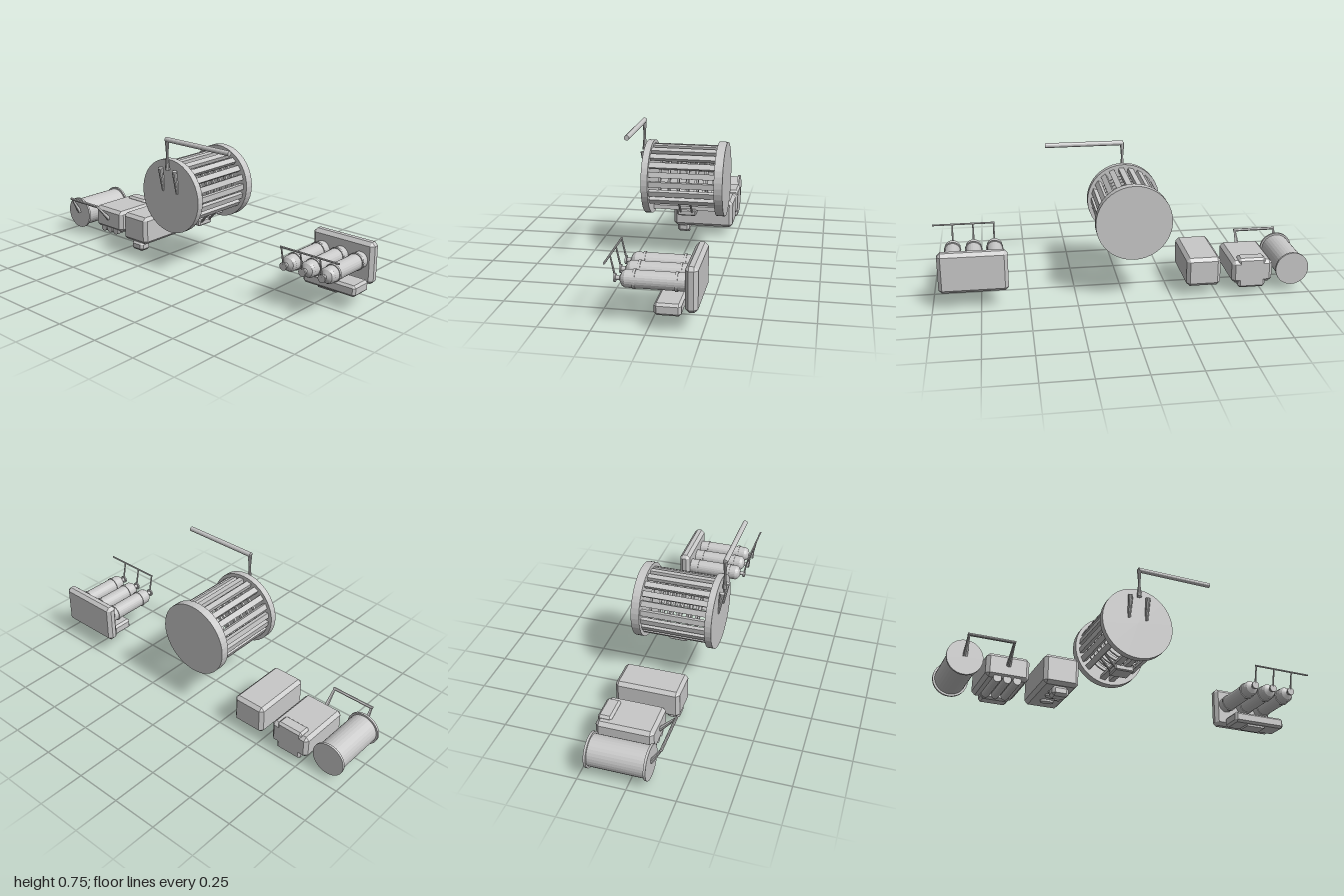
import * as THREE from 'three';
import { ConvexGeometry } from 'three/addons/geometries/ConvexGeometry.js';

const grey = new THREE.MeshStandardMaterial({ color: 0xc8c8c8, flatShading: true });
grey.name = 'light grey';
const V = (x, y, z) => new THREE.Vector3(x, y, z);

function add(parent, name, geometry) {
  const m = new THREE.Mesh(geometry, grey);
  m.name = name;
  parent.add(m);
  return m;
}

// Box given by its limits, all edges chamfered by c
function block(parent, name, x0, x1, y0, y1, z0, z1, c = 0) {
  const w = (x1 - x0) / 2, h = (y1 - y0) / 2, d = (z1 - z0) / 2;
  let geo;
  if (c === 0) geo = new THREE.BoxGeometry(w * 2, h * 2, d * 2);
  else {
    const pts = [];
    for (const i of [-1, 1]) for (const j of [-1, 1]) for (const k of [-1, 1]) {
      pts.push(V(i * w, j * (h - c), k * (d - c)));
      pts.push(V(i * (w - c), j * h, k * (d - c)));
      pts.push(V(i * (w - c), j * (h - c), k * d));
    }
    geo = new ConvexGeometry(pts);
  }
  const m = add(parent, name, geo);
  m.position.set((x0 + x1) / 2, (y0 + y1) / 2, (z0 + z1) / 2);
  return m;
}

// Straight rod between two points, optionally tapered
function rod(parent, name, a, b, ra, rb = ra, sides = 10) {
  const dir = b.clone().sub(a);
  const m = add(parent, name, new THREE.CylinderGeometry(rb, ra, dir.length(), sides));
  m.position.copy(a).add(b).multiplyScalar(0.5);
  m.quaternion.setFromUnitVectors(V(0, 1, 0), dir.normalize());
  return m;
}

// Cylinder lying along z
const barrel = (parent, name, x, y, z0, z1, r, sides = 32) =>
  rod(parent, name, V(x, y, z0), V(x, y, z1), r, r, sides);

// Solid of revolution along z from [radius, z] pairs
function turned(parent, name, x, y, profile, sides = 24) {
  const m = add(parent, name, new THREE.LatheGeometry(profile.map(([r, z]) => new THREE.Vector2(r, z)), sides));
  m.rotation.x = Math.PI / 2;
  m.position.set(x, y, 0);
  return m;
}

function group(parent, name) {
  const g = new THREE.Group();
  g.name = name;
  parent.add(g);
  return g;
}

function buildSpool(root) {
  const g = group(root, 'flangedSpool');
  const x = -0.91, y = 0.123;
  barrel(g, 'spoolBody', x, y, -0.2, 0.09, 0.08);
  barrel(g, 'spoolFrontFlange', x, y, 0.088, 0.1, 0.09);
  barrel(g, 'spoolBackFlange', x, y, -0.21, -0.198, 0.09);
  // Hose linking spool and small tank
  rod(g, 'spoolArm', V(x, 0.128, 0.098), V(x, 0.22, 0.152), 0.012, 0.006);
  rod(g, 'linkBar', V(x - 0.006, 0.22, 0.152), V(-0.679, 0.22, 0.152), 0.008);
  rod(g, 'tankArm', V(-0.685, 0.128, 0.068), V(-0.685, 0.22, 0.152), 0.012, 0.006);
}

function buildSmallTank(root) {
  const g = group(root, 'smallTank');
  block(g, 'tankBody', -0.795, -0.575, 0.063, 0.188, -0.23, 0.07, 0.018);
  block(g, 'rearCollar', -0.757, -0.61, 0.035, 0.202, -0.23, -0.155, 0.012);
  for (const x of [-0.735, -0.685, -0.635]) barrel(g, 'underTube', x, 0.06, -0.16, 0.062, 0.021, 16);
}

function buildPlainTank(root) {
  const g = group(root, 'plainTank');
  block(g, 'plainTankBody', -0.513, -0.33, 0.058, 0.216, -0.23, 0.112, 0.018);
  block(g, 'lowerKnob', -0.463, -0.376, 0.005, 0.058, 0.028, 0.098, 0.014);
  block(g, 'knobTip', -0.433, -0.406, 0, 0.007, 0.03, 0.042);
  // Flat vents on the underside
  for (const z of [0.005, -0.045, -0.125]) {
    const vent = add(g, 'underVent', new THREE.CylinderGeometry(0.02, 0.02, 0.014, 16));
    vent.scale.x = 1.8;
    vent.position.set(-0.42, 0.055, z);
  }
}

function buildCage(root) {
  const g = group(root, 'barredDrum');
  const x = -0.047, y = 0.434;
  barrel(g, 'frontDisc', x, y - 0.002, 0.165, 0.2, 0.199, 40);
  barrel(g, 'backDisc', x, y, -0.23, -0.185, 0.2, 40);
  // Ring of lengthwise bars, some left out for the openings low on the sides
  const count = 21, openings = [14, 17, 18];
  for (let i = 0; i < count; i++) {
    if (openings.includes(i)) continue;
    const a = (i / count) * Math.PI * 2;
    const bar = add(g, 'cageBar', new THREE.BoxGeometry(0.022, 0.03, 0.36));
    bar.position.set(x + Math.cos(a) * 0.168, y + Math.sin(a) * 0.168, -0.01);
    bar.rotation.z = a;
  }
  // Inner hoops
  const hoop = [[0.135, -0.006], [0.152, -0.006], [0.152, 0.006], [0.135, 0.006], [0.135, -0.006]];
  for (let i = 0; i < 6; i++) turned(g, 'innerHoop', x, y, hoop, 32).position.z = 0.108 - i * 0.05;
  // Box hanging on sloping struts below the bars
  for (const z of [0.012, -0.049]) for (const s of [-1, 1]) {
    rod(g, 'hangerStrut', V(x + s * 0.045, 0.25, z), V(x + s * 0.112, 0.32, z), 0.006);
  }
  block(g, 'hangingBox', x - 0.053, x + 0.053, 0.232, 0.265, -0.07, 0.03, 0.006);
  // Front brackets and crank
  for (const s of [-1, 1]) {
    rod(g, 'frontBracket', V(x + s * 0.05, 0.455, 0.198), V(x + s * 0.05, 0.58, 0.217), 0.008, 0.014);
  }
  rod(g, 'crankLower', V(x, 0.58, 0.217), V(x, 0.66, 0.217), 0.013, 0.006);
  rod(g, 'crankUpper', V(x, 0.66, 0.217), V(x, 0.74, 0.217), 0.006, 0.012);
  rod(g, 'crankHandle', V(-0.052, 0.74, 0.217), V(0.373, 0.74, 0.217), 0.013, 0.013, 14);
}

function buildBottleRack(root) {
  const g = group(root, 'bottleRack');
  block(g, 'backPlate', 0.604, 0.962, 0.098, 0.317, -0.23, -0.17, 0.018);
  block(g, 'lowerBox', 0.65, 0.957, 0.077, 0.136, -0.155, -0.03, 0.012);
  block(g, 'lowerStrip', 0.733, 0.843, 0.067, 0.08, -0.13, -0.05);
  const y = 0.221;
  const bottle = [[0, -0.18], [0.042, -0.18], [0.042, 0.108], [0.034, 0.122], [0.014, 0.133], [0.011, 0.133], [0.011, 0.156], [0, 0.156]];
  for (const x of [0.669, 0.781, 0.893]) {
    turned(g, 'bottle', x, y, bottle);
    for (const z of [0.066, -0.128]) barrel(g, 'bottleBand', x, y, z - 0.006, z + 0.006, 0.046, 24);
    barrel(g, 'valveWheel', x, y, 0.153, 0.161, 0.021, 16);
    rod(g, 'valveArm', V(x, y, 0.155), V(x, 0.328, 0.178), 0.005, 0.004, 8);
  }
  rod(g, 'valveBar', V(0.664, 0.328, 0.178), V(1, 0.328, 0.178), 0.005, 0.005, 8);
}

export function createModel() {
  const root = new THREE.Group();
  root.name = 'equipmentSet';
  buildSpool(root);
  buildSmallTank(root);
  buildPlainTank(root);
  buildCage(root);
  buildBottleRack(root);
  return root;
}
